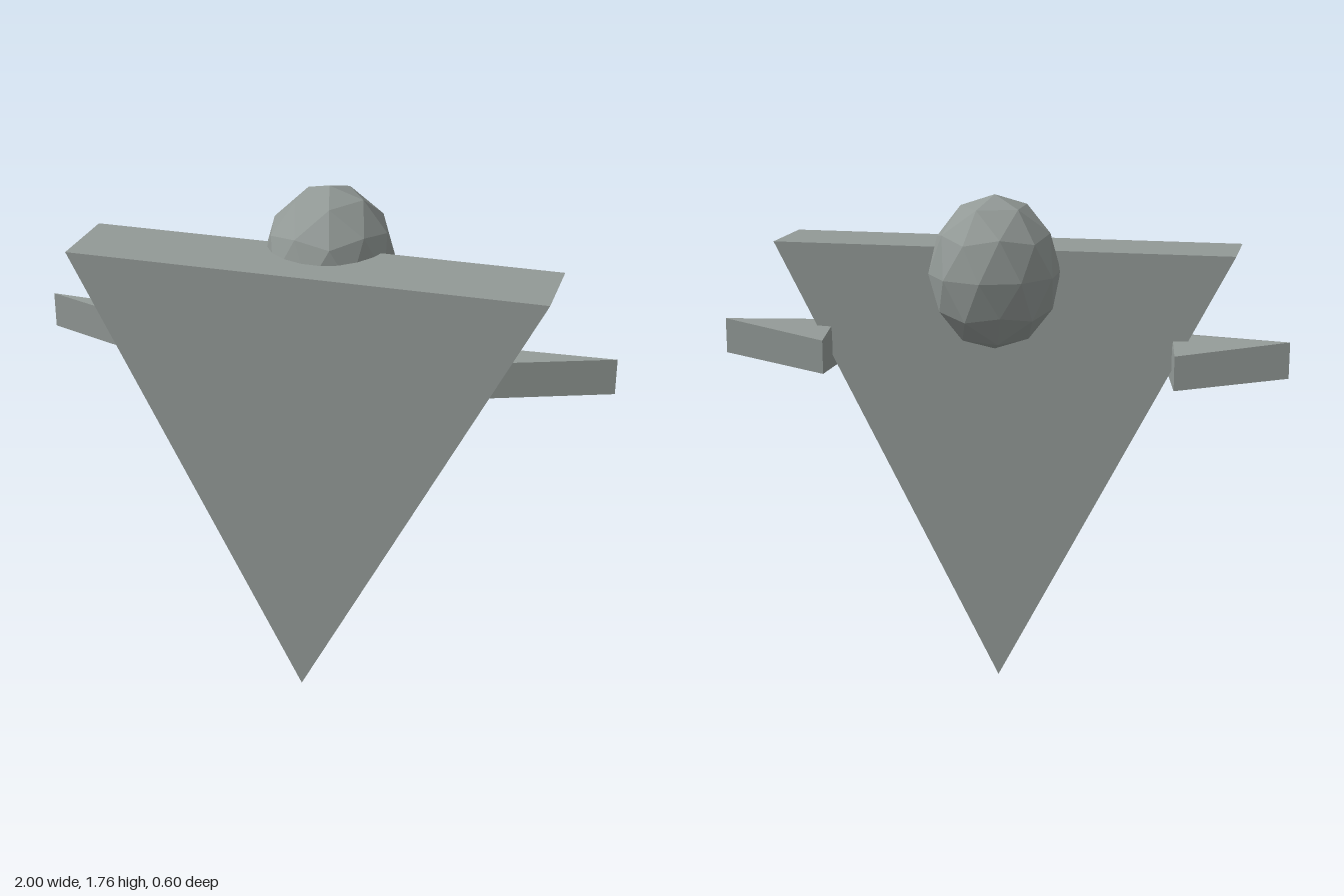
import * as THREE from 'three';
import { ConvexGeometry } from 'three/addons/geometries/ConvexGeometry.js';

export function createModel() {
  const model = new THREE.Group();
  model.name = 'figure';
  const grey = new THREE.MeshStandardMaterial({ color: 0x929996, flatShading: true });
  grey.name = 'stoneGrey';

  const add = (name, geometry) => {
    const mesh = new THREE.Mesh(geometry, grey);
    mesh.name = name;
    model.add(mesh);
    return mesh;
  };

  // Body: a thick triangle standing on its point
  const triangle = new THREE.Shape([
    new THREE.Vector2(0, 0),
    new THREE.Vector2(0.81, 1.57),
    new THREE.Vector2(-0.81, 1.57),
  ]);
  const body = new THREE.ExtrudeGeometry(triangle, { depth: 0.285, bevelEnabled: false });
  body.translate(0, 0, 0.015);
  add('body', body);

  // Head: faceted ball turned so that a corner points straight up, then stretched
  const head = new THREE.IcosahedronGeometry(1, 1);
  head.rotateZ(-Math.atan(2 / (1 + Math.sqrt(5))));
  head.scale(0.225, 0.265, 0.252);
  head.translate(0, 1.5, -0.048);
  add('head', head);

  // Arms: wedges with a ridged top, narrowing to an upright edge
  const armCorners = [
    [1, 1.287, 0.015], [1, 1.162, 0.015],        // tip
    [0.62, 1.235, -0.05], [0.62, 1.115, -0.05],  // inner back
    [0.57, 1.275, 0.148], [0.57, 1.148, 0.148],  // inner front
    [0.6, 1.291, 0.045],                         // ridge
  ];
  for (const [name, side] of [['leftArm', 1], ['rightArm', -1]]) {
    add(name, new ConvexGeometry(armCorners.map(([x, y, z]) => new THREE.Vector3(x * side, y, z))));
  }

  return model;
}
